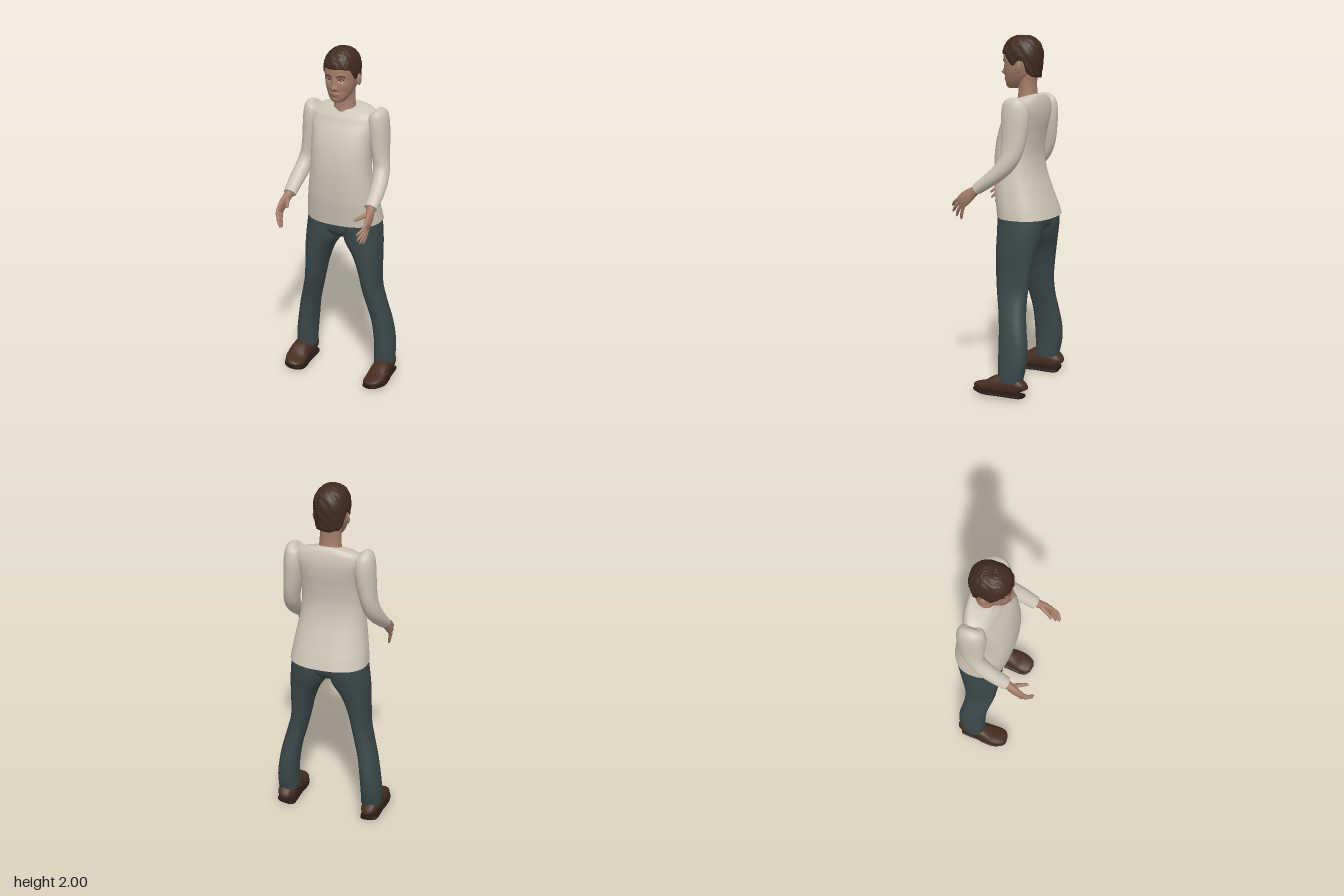
import * as THREE from 'three';

const mat = (name, color, side = THREE.FrontSide) => {
  const m = new THREE.MeshStandardMaterial({ color, side });
  m.name = name;
  return m;
};

// Resample rows of numbers with a Catmull-Rom spline, column by column
function smooth(rows, steps) {
  const out = [], last = rows.length - 1;
  const at = (i) => rows[Math.min(Math.max(i, 0), last)];
  for (let i = 0; i < last; i++) {
    for (let s = 0; s < steps; s++) {
      const t = s / steps;
      out.push(rows[i].map((_, c) => {
        const [a, b, d, e] = [at(i - 1)[c], at(i)[c], at(i + 1)[c], at(i + 2)[c]];
        return b + 0.5 * t * (d - a + t * (2 * a - 5 * b + 4 * d - e + t * (3 * (b - d) + e - a)));
      }));
    }
  }
  out.push(rows[last].slice());
  return out;
}

// Skin a stack of closed rings; each end can be closed by a cap with a sharp rim
function skin(rings, caps = true) {
  const pos = [], idx = [], n = rings[0].length;
  rings.forEach((r) => r.forEach((p) => pos.push(p.x, p.y, p.z)));
  for (let i = 0; i < rings.length - 1; i++) {
    for (let j = 0; j < n; j++) {
      const a = i * n + j, b = i * n + (j + 1) % n;
      idx.push(a, b, a + n, b, b + n, a + n);
    }
  }
  if (caps) {
    [rings[0], rings[rings.length - 1]].forEach((r, end) => {
      const base = pos.length / 3;
      const c = r.reduce((s, p) => s.add(p), new THREE.Vector3()).divideScalar(n);
      [...r, c].forEach((p) => pos.push(p.x, p.y, p.z));
      for (let j = 0; j < n; j++) {
        const k = (j + 1) % n;
        idx.push(base + n, base + (end ? j : k), base + (end ? k : j));
      }
    });
  }
  const g = new THREE.BufferGeometry();
  g.setAttribute('position', new THREE.Float32BufferAttribute(pos, 3));
  g.setIndex(idx);
  g.computeVertexNormals();
  return g;
}

const round = (v, n) => Math.sign(v) * Math.abs(v) ** (2 / n);

// Body part along a path; rows are [x, y, z, half width, half depth]
function limb(rows, { steps = 5, seg = 28, n = 2, axis = null, warp = null } = {}) {
  const pts = smooth(rows, steps);
  const P = pts.map((r) => new THREE.Vector3(r[0], r[1], r[2]));
  const rings = pts.map((r, i) => {
    const t = axis ? axis.clone()
      : P[Math.min(i + 1, P.length - 1)].clone().sub(P[Math.max(i - 1, 0)]).normalize();
    const u = new THREE.Vector3(1, 0, 0).addScaledVector(t, -t.x).normalize();
    const v = new THREE.Vector3().crossVectors(t, u);
    return Array.from({ length: seg }, (_, j) => {
      const a = (j / seg) * Math.PI * 2;
      const p = P[i].clone().addScaledVector(u, r[3] * round(Math.cos(a), n))
        .addScaledVector(v, r[4] * round(Math.sin(a), n));
      if (warp) warp(p);
      return p;
    });
  });
  return skin(rings);
}

// Upright part with level rings; rows are [y, x min, x max, z front, z back], bottom first
const UP = new THREE.Vector3(0, 1, 0);
const upright = (rows, o = {}, s = 1) => limb(rows.map(([y, a, b, f, k]) =>
  [s * (a + b) / 2, y, (f + k) / 2, (b - a) / 2, (f - k) / 2]), { axis: UP, ...o });
const even = (rows) => rows.map(([y, w, f, k]) => [y, -w, w, f, k]);

export function createModel() {
  const model = new THREE.Group();
  model.name = 'standingPerson';
  const skinMat = mat('skin', 0xa47c69), shirt = mat('shirt', 0xcdc5b6);
  const trousers = mat('trousers', 0x3a474a), leather = mat('shoeLeather', 0x452d1f);
  const soleMat = mat('sole', 0x251a14), hairMat = mat('hair', 0x402b1e, THREE.DoubleSide);
  const white = mat('eyeWhite', 0xc4bbb2), iris = mat('iris', 0x2c1d15), lip = mat('lips', 0x8c5f54);
  const add = (name, geo, m) => {
    const mesh = new THREE.Mesh(geo, m);
    mesh.name = name;
    model.add(mesh);
    return mesh;
  };

  // Shirt body, with the neckline dipping at the front
  add('shirtBody', upright(even([
    [1.0, 0.222, 0.06, -0.262], [1.06, 0.215, 0.068, -0.242], [1.15, 0.201, 0.08, -0.208],
    [1.25, 0.185, 0.085, -0.175], [1.35, 0.174, 0.083, -0.162], [1.45, 0.176, 0.066, -0.172],
    [1.53, 0.185, 0.037, -0.186], [1.59, 0.198, 0.003, -0.19], [1.63, 0.19, -0.014, -0.184],
    [1.655, 0.15, -0.028, -0.172], [1.668, 0.09, -0.036, -0.16], [1.67, 0.07, -0.038, -0.155],
  ]), {
    seg: 64, n: 2.4,
    warp: (p) => { p.y -= THREE.MathUtils.smoothstep(p.y, 1.6, 1.67) * (p.z + 0.1) * 0.25; },
  }), shirt);

  // Seat of the trousers
  add('trouserSeat', upright(even([
    [0.885, 0.02, -0.05, -0.13], [0.91, 0.08, 0.0, -0.175], [0.95, 0.185, 0.03, -0.212],
    [1.03, 0.21, 0.035, -0.225],
  ]), { seg: 48, n: 2.3 }), trousers);

  for (const s of [1, -1]) {
    const side = s > 0 ? 'left' : 'right';
    const flip = (rows) => rows.map(([x, ...r]) => [s * x, ...r]);

    // Sleeve from the shoulder dome through the bent elbow to the cuff
    add(side + 'Sleeve', limb(flip([
      [0.185, 1.661, -0.1, 0.008, 0.012], [0.19, 1.654, -0.1, 0.036, 0.05],
      [0.196, 1.63, -0.1, 0.052, 0.071], [0.199, 1.57, -0.102, 0.058, 0.08],
      [0.207, 1.48, -0.1, 0.054, 0.075], [0.219, 1.4, -0.094, 0.047, 0.066],
      [0.231, 1.33, -0.075, 0.046, 0.053], [0.242, 1.27, -0.028, 0.045, 0.044],
      [0.249, 1.215, 0.04, 0.042, 0.038], [0.25, 1.167, 0.107, 0.037, 0.032],
    ])), shirt);

    // Palm, four fingers and thumb
    add(side + 'Palm', limb(flip([
      [0.25, 1.175, 0.095, 0.025, 0.026], [0.256, 1.152, 0.125, 0.023, 0.028],
      [0.263, 1.127, 0.155, 0.019, 0.036], [0.267, 1.1, 0.185, 0.014, 0.037],
      [0.266, 1.085, 0.2, 0.008, 0.032],
    ]), { seg: 20 }), skinMat);
    [[0.238, 1.063, 0.266], [0.24, 1.03, 0.262], [0.245, 1.005, 0.238], [0.25, 0.992, 0.204]]
      .forEach(([x, y, z], i) => {
        const k = (1.5 - i) * 0.0165, by = 1.093 + k * 0.75, bz = 0.192 + k * 0.6;
        add(side + 'Finger' + (i + 1), limb(flip([
          [0.267, by, bz, 0.01, 0.01],
          [0.262, by * 0.55 + y * 0.45, bz * 0.55 + z * 0.45 + 0.003, 0.009, 0.009],
          [x + 0.005, by * 0.15 + y * 0.85, bz * 0.15 + z * 0.85, 0.0075, 0.0075],
          [x, y, z, 0.002, 0.002],
        ]), { seg: 10, steps: 3 }), skinMat);
      });
    add(side + 'Thumb', limb(flip([
      [0.256, 1.15, 0.128, 0.014, 0.014], [0.236, 1.14, 0.165, 0.013, 0.012],
      [0.217, 1.133, 0.2, 0.01, 0.01], [0.209, 1.13, 0.216, 0.008, 0.008],
      [0.206, 1.129, 0.222, 0.002, 0.002],
    ]), { seg: 12, steps: 3 }), skinMat);

    // Trouser leg
    add(side + 'TrouserLeg', upright([
      [0.1, 0.2, 0.32, -0.035, -0.172], [0.2, 0.2, 0.318, -0.032, -0.194],
      [0.3, 0.192, 0.306, -0.03, -0.196], [0.4, 0.177, 0.288, -0.024, -0.181],
      [0.5, 0.152, 0.262, -0.008, -0.169], [0.6, 0.13, 0.238, 0.012, -0.17],
      [0.7, 0.108, 0.233, 0.022, -0.181], [0.8, 0.07, 0.232, 0.03, -0.197],
      [0.88, 0.018, 0.229, 0.034, -0.214], [0.95, 0.002, 0.222, 0.035, -0.225],
      [1.03, 0.002, 0.212, 0.035, -0.225],
    ], { seg: 36, n: 2.3 }, s), trousers);

    // Shoe and sole, rolled slightly so the outer edge lifts
    const shoe = [
      [-0.178, 0.262, 0.026, 0.07], [-0.166, 0.262, 0.046, 0.1], [-0.12, 0.262, 0.052, 0.126],
      [-0.06, 0.264, 0.053, 0.126], [-0.02, 0.266, 0.058, 0.112], [0.03, 0.265, 0.062, 0.082],
      [0.07, 0.259, 0.058, 0.062], [0.1, 0.253, 0.044, 0.048], [0.114, 0.25, 0.018, 0.036],
    ];
    const warp = (p) => {
      p.y += 0.14 * (Math.abs(p.x) - 0.2) + 0.012 * THREE.MathUtils.smoothstep(p.z, 0.03, 0.12);
    };
    add(side + 'Shoe', limb(shoe.map(([z, x, w, top]) =>
      [s * x, (top + 0.012) / 2, z, w, (top - 0.012) / 2]), { n: 2.4, warp }), leather);
    add(side + 'Sole', limb(shoe.map(([z, x, w]) =>
      [s * x, 0.009, z * 1.01, w + 0.005, 0.009]), { n: 4, warp }), soleMat);
  }

  // Neck
  add('neck', upright(even([
    [1.62, 0.075, -0.025, -0.15], [1.66, 0.064, -0.033, -0.145], [1.7, 0.059, -0.036, -0.138],
    [1.75, 0.058, -0.036, -0.137], [1.8, 0.06, -0.04, -0.145],
  ])), skinMat);

  // Head; bumps [x, y, spread x, spread y, height] shape the face
  const bumps = [
    [0, 1.795, 0.012, 0.013, 0.026], [0, 1.825, 0.009, 0.022, 0.013], [0, 1.758, 0.022, 0.01, 0.009],
    [0, 1.726, 0.02, 0.012, 0.004],
  ];
  for (const s of [1, -1]) {
    bumps.push([s * 0.014, 1.789, 0.007, 0.007, 0.008], [s * 0.035, 1.838, 0.017, 0.011, -0.009],
      [s * 0.034, 1.864, 0.022, 0.007, 0.003], [s * 0.05, 1.803, 0.016, 0.016, 0.004]);
  }
  const head = add('head', upright(even([
    [1.707, 0.014, 0.018, -0.015], [1.714, 0.034, 0.033, -0.045], [1.738, 0.055, 0.041, -0.085],
    [1.77, 0.071, 0.044, -0.12], [1.8, 0.081, 0.047, -0.14], [1.84, 0.088, 0.048, -0.152],
    [1.88, 0.09, 0.05, -0.158], [1.92, 0.086, 0.044, -0.155], [1.96, 0.068, 0.018, -0.13],
    [1.985, 0.03, -0.025, -0.09],
  ]), {
    seg: 112, n: 2.25, steps: 7,
    warp: (p) => {
      if (p.z < 0) return;
      const x = p.x, y = p.y;
      for (const [bx, by, sx, sy, h] of bumps) {
        p.z += h * Math.exp(-(((x - bx) / sx) ** 2) - ((y - by) / sy) ** 2);
      }
    },
  }), skinMat);

  // Facial details are laid on the face by casting a ray from the front
  const ray = new THREE.Raycaster();
  const faceZ = (x, y) => {
    ray.set(new THREE.Vector3(x, y, 1), new THREE.Vector3(0, 0, -1));
    return ray.intersectObject(head)[0]?.point.z ?? 0.04;
  };
  const strip = (name, pts, r, m) => add(name, new THREE.TubeGeometry(new THREE.CatmullRomCurve3(
    pts.map(([x, y]) => new THREE.Vector3(x, y, faceZ(x, y)))), 16, r, 6), m);
  const blob = (name, x, y, z, sx, sy, sz, m) => {
    const e = add(name, new THREE.SphereGeometry(1, 20, 14), m);
    e.position.set(x, y, z);
    e.scale.set(sx, sy, sz);
    return e;
  };
  strip('upperLip', [[-0.024, 1.756], [-0.008, 1.761], [0, 1.76], [0.008, 1.761], [0.024, 1.756]], 0.003, lip);
  strip('lowerLip', [[-0.02, 1.754], [0, 1.751], [0.02, 1.754]], 0.0035, lip);
  for (const s of [1, -1]) {
    const z = faceZ(s * 0.035, 1.836);
    blob('eye', s * 0.035, 1.836, z, 0.013, 0.0055, 0.003, white);
    blob('iris', s * 0.035, 1.836, z + 0.001, 0.0052, 0.0052, 0.003, iris);
    strip('eyelash', [[s * 0.02, 1.838], [s * 0.034, 1.843], [s * 0.05, 1.838]], 0.002, iris);
    strip('eyebrow', [[s * 0.016, 1.857], [s * 0.036, 1.863], [s * 0.058, 1.856]], 0.003, hairMat);
    blob('ear', s * 0.093, 1.825, -0.07, 0.008, 0.03, 0.017, skinMat).rotation.set(-0.15, s * -0.3, 0);
  }

  // Short hair: a rumpled cap whose lower edge follows the hairline
  const line = [[0, 1.897], [0.5, 1.9], [0.9, 1.893], [1.15, 1.862], [1.35, 1.836], [1.48, 1.836],
    [1.6, 1.862], [1.86, 1.862], [2.05, 1.8], [2.4, 1.776], [3.15, 1.768]];
  const hairline = (phi) => {
    const i = Math.max(1, line.findIndex((q) => q[0] >= phi));
    const [[a, ya], [b, yb]] = [line[i - 1], line[i]];
    return THREE.MathUtils.lerp(ya, yb, (phi - a) / (b - a));
  };
  const rows = 26, seg = 96;
  const hairRings = Array.from({ length: rows + 1 }, (_, i) => Array.from({ length: seg }, (_, j) => {
    const a = (j / seg) * Math.PI * 2, low = hairline(Math.acos(-Math.sin(a)));
    const t = Math.max(0, i - 1) / (rows - 1);
    const y = low + (1.997 - low) * Math.sin(t * Math.PI / 2);
    const k = Math.max(0, 1 - Math.max(0, (y - 1.88) / 0.12) ** 2.3) ** (1 / 2.3)
      * (1 - Math.max(0, 1.88 - y)) * (i ? 1 : 0.9);
    const rumple = 1 + 0.012 * Math.sin(a * 13 + y * 90) + 0.01 * Math.sin(a * 23 - y * 160);
    return new THREE.Vector3(0.095 * k * rumple * round(Math.cos(a), 2.4),
      y + 0.0015 * Math.sin(a * 9 + i * 1.7), -0.058 - 0.113 * k * rumple * round(Math.sin(a), 2.4));
  }));
  add('hair', skin(hairRings), hairMat);

  return model;
}
